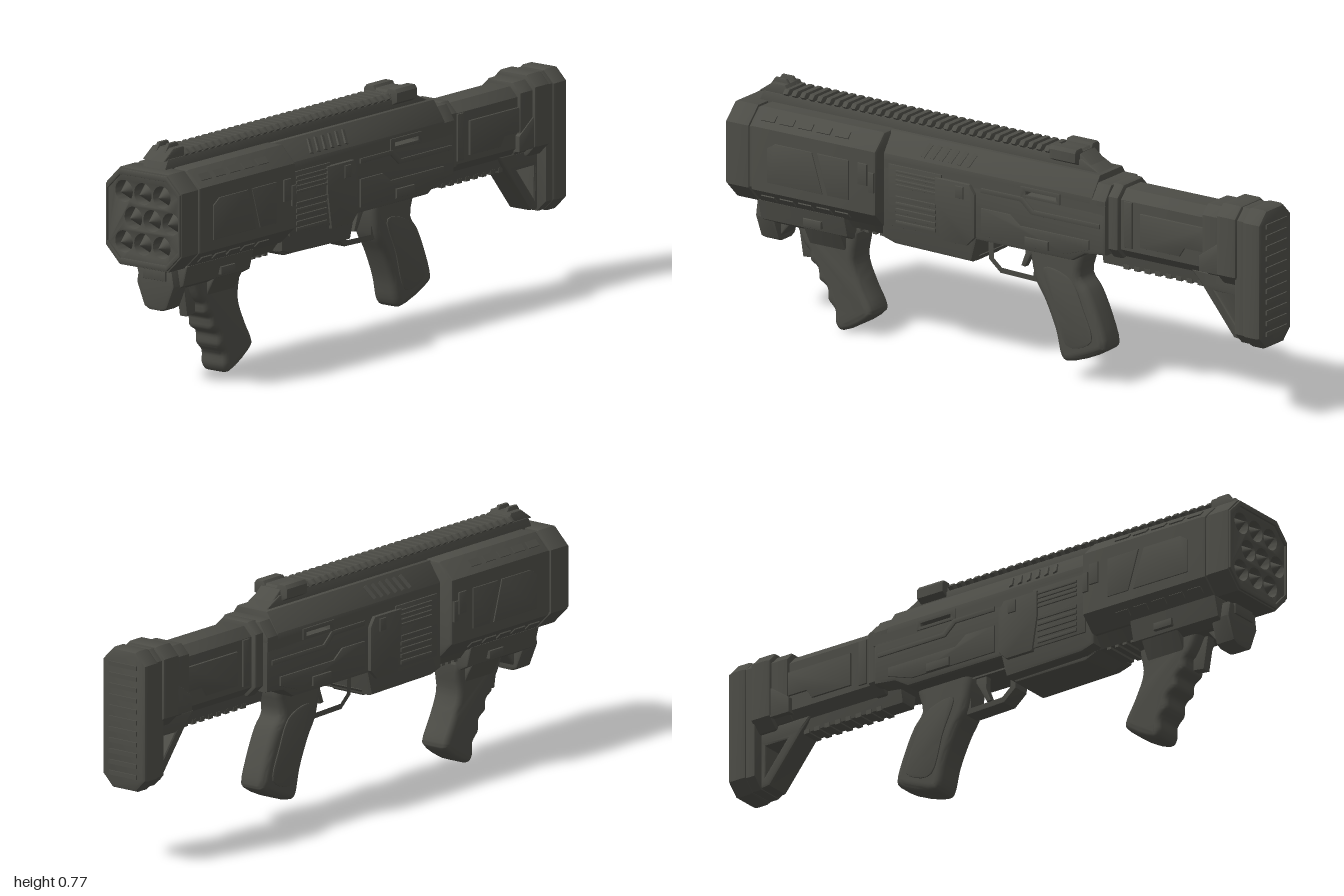
import * as THREE from 'three';
import { toCreasedNormals } from 'three/addons/utils/BufferGeometryUtils.js';

export function createModel() {
  const model = new THREE.Group();
  model.name = 'launcher';
  const gunmetal = new THREE.MeshStandardMaterial({ color: 0x4c4c46 });
  gunmetal.name = 'gunmetal';

  const add = (name, geo) => {
    const mesh = new THREE.Mesh(geo, gunmetal);
    mesh.name = name;
    model.add(mesh);
    return mesh;
  };
  const outline = (pts) => pts.map(([a, b]) => new THREE.Vector2(a, b));
  const extrude = (pts, depth, bevel, holes, segs) => {
    const shape = new THREE.Shape(outline(pts));
    holes.forEach((h) => shape.holes.push(new THREE.Path(outline(h))));
    const geo = new THREE.ExtrudeGeometry(shape, {
      depth: depth - 2 * bevel, bevelEnabled: bevel > 0, bevelSize: bevel,
      bevelThickness: bevel, bevelOffset: -bevel, bevelSegments: segs,
    });
    return geo.translate(0, 0, bevel);
  };
  // Profile in (z, y), extruded across x and centred on x = cx
  const side = (name, pts, half, bevel = 0.01, { cx = 0, holes = [], segs = 2 } = {}) => {
    const geo = extrude(pts, 2 * half, bevel, holes, segs).translate(0, 0, -half).rotateY(-Math.PI / 2);
    return add(name, toCreasedNormals(geo.translate(cx, 0, 0), 0.6));
  };
  // Section in (x, y), extruded from z0 to z1
  const along = (name, pts, z0, z1, bevel = 0.008, holes = []) =>
    add(name, toCreasedNormals(extrude(pts, z1 - z0, bevel, holes, 2).translate(0, 0, z0), 0.6));
  const box = (name, x0, x1, y0, y1, z0, z1) =>
    add(name, new THREE.BoxGeometry(x1 - x0, y1 - y0, z1 - z0)
      .translate((x0 + x1) / 2, (y0 + y1) / 2, (z0 + z1) / 2));
  // Mirrors the right half of a section
  const mirrored = (pts) => [...pts, ...pts.map(([x, y]) => [-x, y]).reverse()];
  const octagon = (w, y0, y1, c) =>
    mirrored([[w - c, y0], [w, y0 + c], [w, y1 - c], [w - c, y1]]);
  const rect = (a0, a1, b0, b1) => [[a0, b0], [a1, b0], [a1, b1], [a0, b1]];
  const smooth = (pts, n = 48) =>
    new THREE.CatmullRomCurve3(pts.map(([a, b]) => new THREE.Vector3(a, b, 0)), true, 'centripetal')
      .getPoints(n).slice(0, n).map((p) => [p.x, p.y]);
  const bothSides = (fn) => [-1, 1].forEach(fn);

  // Front housing and nine-tube muzzle
  along('frontHousing', octagon(0.15, 0.395, 0.705, 0.052), 0.42, 0.895, 0.01);
  along('muzzleSeam', octagon(0.143, 0.402, 0.698, 0.05), 0.88, 0.94, 0.002);
  const tubes = [];
  [[0.63, -0.08], [0.55, -0.043], [0.47, -0.08]].forEach(([y, x0]) => {
    for (let i = 0; i < 3; i++) tubes.push([x0 + i * 0.075, y]);
  });
  const circle = ([x, y], r) => Array.from({ length: 28 }, (_, i) =>
    [x + r * Math.cos(i * Math.PI / 14), y + r * Math.sin(i * Math.PI / 14)]);
  along('muzzleBlock', octagon(0.15, 0.395, 0.705, 0.054), 0.902, 0.984, 0.003,
    tubes.map((t) => circle(t, 0.034)));
  along('muzzleRim', octagon(0.147, 0.4, 0.7, 0.053), 0.98, 0.991, 0.002,
    [octagon(0.141, 0.417, 0.683, 0.05)]);
  tubes.forEach(([x, y]) => add('warheadTip',
    new THREE.ConeGeometry(0.034, 0.06, 28).rotateX(Math.PI / 2).translate(x, y, 0.97)));

  // Housing side panels, edge slots and nubs
  bothSides((s) => {
    const at = { cx: s * 0.15 };
    side('housingPanel', [[0.83, 0.48], [0.83, 0.59], [0.8, 0.61], [0.66, 0.61], [0.62, 0.48]], 0.004, 0.002, at);
    side('housingPanel', [[0.6, 0.48], [0.64, 0.61], [0.52, 0.61], [0.52, 0.48]], 0.004, 0.002, at);
    side('housingLatch', rect(0.45, 0.485, 0.54, 0.61), 0.006, 0.002, at);
    side('housingNub', rect(0.425, 0.445, 0.52, 0.585), 0.006, 0.002, at);
    for (let i = 0; i < 5; i++) {
      [[0.679, -1], [0.421, 1]].forEach(([y, d]) => {
        const slot = add('housingSlot', new THREE.BoxGeometry(0.008, 0.024, 0.05));
        slot.position.set(s * 0.124, y, 0.56 + i * 0.07);
        slot.rotation.z = -d * s * Math.PI / 4;
      });
    }
  });

  // Receiver: lower body, slabs around the through slot, chamfered top
  side('receiverBody', [[0.43, 0.365], [0.38, 0.35], [0.09, 0.345], [0.07, 0.42], [-0.29, 0.42],
    [-0.34, 0.45], [-0.42, 0.46], [-0.42, 0.605], [0.43, 0.605]], 0.103, 0.012);
  [[-0.42, -0.235], [-0.12, 0.43]].forEach(([a, b]) => box('receiverSlab', -0.103, 0.103, 0.59, 0.621, a, b));
  along('receiverTop', mirrored([[0.103, 0.617], [0.103, 0.64], [0.06, 0.703]]), -0.37, 0.43, 0.003);
  along('receiverTail', mirrored([[0.103, 0.617], [0.103, 0.635], [0.07, 0.682]]), -0.42, -0.36, 0.003);
  side('bellyPan', [[0.42, 0.36], [0.37, 0.338], [0.1, 0.338], [0.08, 0.36]], 0.065, 0.006);

  // Receiver side details
  bothSides((s) => {
    const at = { cx: s * 0.103 };
    side('louverFrame', rect(0.2, 0.4, 0.41, 0.61), 0.005, 0.002, at);
    for (let i = 0; i < 4; i++) {
      side('upperLouver', rect(0.22, 0.37, 0.542 + i * 0.015, 0.55 + i * 0.015), 0.01, 0.002, at);
    }
    for (let i = 0; i < 5; i++) {
      side('lowerLouver', rect(0.22, 0.37, 0.42 + i * 0.02, 0.432 + i * 0.02), 0.01, 0.002, at);
    }
    side('magazineCover', [[0.22, 0.52], [0.22, 0.6], [0.09, 0.6], [0.07, 0.57], [0.07, 0.43],
      [0.1, 0.4], [0.2, 0.4]], 0.012, 0.004, at);
    side('releaseButton', rect(0.11, 0.14, 0.55, 0.59), 0.017, 0.003, at);
    side('lowerPanel', [[0.05, 0.53], [-0.06, 0.53], [-0.1, 0.5], [-0.36, 0.5], [-0.36, 0.47],
      [-0.27, 0.44], [0.05, 0.44]], 0.005, 0.002, at);
    side('selector', rect(-0.21, -0.12, 0.44, 0.47), 0.012, 0.004, at);
    side('upperStrip', [[0.05, 0.58], [-0.1, 0.58], [-0.14, 0.545], [-0.4, 0.545], [-0.4, 0.56],
      [-0.15, 0.56], [-0.11, 0.595], [0.05, 0.595]], 0.005, 0.001, at);
    side('slotFrame', rect(-0.25, -0.1, 0.595, 0.63), 0.004, 0.001, { ...at, holes: [rect(-0.235, -0.12, 0.605, 0.617)] });
    for (let i = 0; i < 6; i++) {
      const vent = add('topVent', new THREE.BoxGeometry(0.008, 0.05, 0.014));
      vent.position.set(s * 0.083, 0.67, 0.1 + i * 0.034);
      vent.rotation.set(-0.4, 0, s * 0.6);
    }
  });

  // Top rail with teeth
  side('railBase', [[0.94, 0.695], [0.92, 0.735], [-0.29, 0.735], [-0.37, 0.695]], 0.045, 0.004);
  for (let z = 0.84; z > -0.17; z -= 0.032) {
    along('railTooth', mirrored([[0.04, 0.73], [0.055, 0.742], [0.042, 0.755]]), z - 0.018, z, 0.002);
  }

  // Front and rear sights
  side('frontSightBase', [[0.94, 0.73], [0.89, 0.765], [0.84, 0.765], [0.82, 0.73]], 0.042, 0.004);
  bothSides((s) => side('frontSightEar', [[0.91, 0.75], [0.89, 0.778], [0.85, 0.778], [0.83, 0.75]],
    0.006, 0.002, { cx: s * 0.018 }));
  along('rearSightBody', mirrored([[0.045, 0.715], [0.067, 0.727], [0.067, 0.757], [0.058, 0.768],
    [0.03, 0.768], [0.022, 0.755]]), -0.28, -0.18, 0.004);
  side('rearSightRamp', [[-0.16, 0.735], [-0.19, 0.76], [-0.27, 0.76], [-0.32, 0.72]], 0.04, 0.004);

  // Trigger guard and trigger
  side('triggerGuard', [[0.08, 0.43], [0.075, 0.34], [0.03, 0.302], [-0.12, 0.298], [-0.14, 0.43]], 0.03, 0.004,
    { holes: [[[0.062, 0.418], [0.058, 0.345], [0.025, 0.317], [-0.1, 0.313], [-0.105, 0.418]]] });
  side('trigger', [[-0.05, 0.43], [-0.052, 0.38], [-0.035, 0.335], [-0.05, 0.333], [-0.075, 0.38],
    [-0.105, 0.43]], 0.012, 0.003);

  // Rear pistol grip
  side('pistolGrip', smooth([[-0.1, 0.45], [-0.105, 0.32], [-0.145, 0.25], [-0.185, 0.16], [-0.207, 0.08],
    [-0.225, 0.066], [-0.37, 0.122], [-0.378, 0.14], [-0.345, 0.24], [-0.31, 0.31], [-0.28, 0.35],
    [-0.295, 0.45]]), 0.05, 0.024, { segs: 4 });
  bothSides((s) => side('gripPanel', smooth([[-0.15, 0.36], [-0.19, 0.25], [-0.24, 0.12], [-0.33, 0.15],
    [-0.3, 0.25], [-0.25, 0.34]], 28), 0.004, 0.002, { cx: s * 0.05 }));

  // Foregrip cradle
  along('foregripCradle', mirrored([[0.055, 0.318], [0.088, 0.335], [0.105, 0.4]]), 0.57, 0.9, 0.006);
  along('cradleRear', mirrored([[0.06, 0.36], [0.095, 0.405]]), 0.42, 0.58, 0.004);
  along('cradleNeck', mirrored([[0.05, 0.27], [0.085, 0.335]]), 0.6, 0.74, 0.006);
  along('frontLug', mirrored([[0.025, 0.252], [0.045, 0.262], [0.075, 0.335], [0.066, 0.385]]), 0.86, 0.93, 0.008);
  along('lugCap', mirrored([[0.045, 0.35], [0.045, 0.385]]), 0.92, 0.936, 0.004);
  side('lugBrace', [[0.88, 0.33], [0.87, 0.26], [0.82, 0.32], [0.82, 0.34]], 0.035, 0.006);
  bothSides((s) => side('cradleBolt', rect(0.66, 0.73, 0.345, 0.37), 0.012, 0.004, { cx: s * 0.092 }));
  for (let i = 0; i < 4; i++) box('cradleTooth', -0.06, 0.06, 0.352, 0.365, 0.45 + i * 0.03, 0.465 + i * 0.03);

  // Foregrip with finger grooves
  side('foregrip', smooth([[0.8, 0.35], [0.785, 0.3], [0.762, 0.26], [0.748, 0.247], [0.742, 0.215],
    [0.715, 0.195], [0.71, 0.16], [0.68, 0.138], [0.676, 0.1], [0.65, 0.07], [0.648, 0.03], [0.628, 0.008],
    [0.51, 0.075], [0.508, 0.095], [0.545, 0.165], [0.575, 0.24], [0.57, 0.35]], 72), 0.053, 0.022, { segs: 4 });
  side('foregripLatch', [[0.81, 0.33], [0.79, 0.21], [0.75, 0.215], [0.75, 0.33]], 0.016, 0.004);

  // Stock tube
  along('stockRing', octagon(0.085, 0.445, 0.685, 0.035), -0.455, -0.41, 0.008);
  along('stockTube', octagon(0.068, 0.45, 0.672, 0.03), -0.86, -0.44, 0.006);
  along('stockRail', mirrored([[0.03, 0.41], [0.04, 0.46]]), -0.77, -0.36, 0.004);
  for (let i = 0; i < 8; i++) box('stockNotch', -0.033, 0.033, 0.405, 0.42, -0.74 + i * 0.04, -0.72 + i * 0.04);
  bothSides((s) => {
    const at = { cx: s * 0.068 };
    side('stockPanel', [[-0.53, 0.5], [-0.53, 0.61], [-0.78, 0.61], [-0.81, 0.59], [-0.81, 0.53],
      [-0.7, 0.53], [-0.68, 0.5]], 0.007, 0.003, at);
    side('stockBand', rect(-0.5, -0.47, 0.49, 0.64), 0.006, 0.002, at);
    side('stockLever', [[-0.76, 0.47], [-0.76, 0.52], [-0.83, 0.57], [-0.86, 0.57], [-0.86, 0.47]], 0.016, 0.004, at);
  });

  // Shoulder end: collar, strut and butt pad
  along('stockCollar', octagon(0.09, 0.44, 0.7, 0.035), -0.905, -0.83, 0.01);
  along('collarBand', octagon(0.08, 0.455, 0.685, 0.03), -0.84, -0.77, 0.006);
  side('stockStrut', [[-0.7, 0.46], [-0.745, 0.41], [-0.865, 0.262], [-0.93, 0.255], [-0.93, 0.46]], 0.045, 0.01,
    { holes: [[[-0.8, 0.4], [-0.88, 0.4], [-0.88, 0.3]]] });
  along('buttPlate', octagon(0.08, 0.255, 0.695, 0.035), -0.935, -0.895, 0.004);
  along('buttPad', octagon(0.087, 0.25, 0.7, 0.04), -0.995, -0.925, 0.014);
  for (let i = 0; i < 11; i++) {
    const rib = add('padRib', new THREE.BoxGeometry(0.11, 0.014, 0.01));
    rib.position.set(0, 0.3 + i * 0.035, -0.995);
  }
  return model;
}
